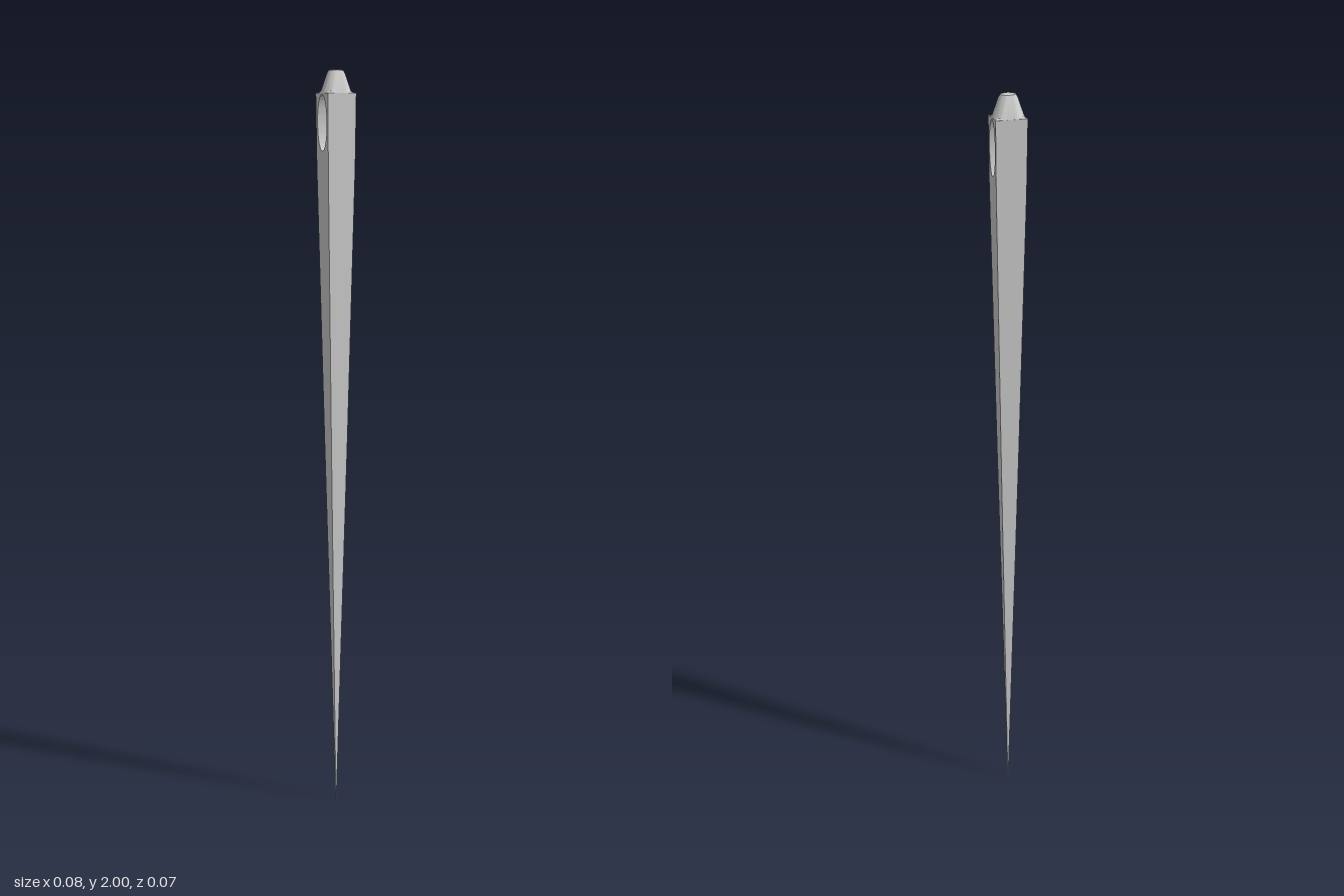
import * as THREE from 'three';
import { toCreasedNormals } from 'three/addons/utils/BufferGeometryUtils.js';

const material = new THREE.MeshStandardMaterial({ color: 0xcccccc });

// Rings run bottom to top: [y, halfX, halfZ, roundness (0 = rectangle, 1 = ellipse)]
function loft(rings, sides, openEnded) {
  const last = rings.length - 1;
  const geo = new THREE.CylinderGeometry(1, 1, 1, sides, last, openEnded, Math.PI / 4);
  const p = geo.attributes.position;
  for (let i = 0; i < p.count; i++) {
    const [y, a, b, round] = rings[Math.round((p.getY(i) + 0.5) * last)];
    const x = p.getX(i), z = p.getZ(i);
    const square = Math.max(Math.abs(x), Math.abs(z)) || 1;
    const k = round + (1 - round) / square;
    p.setXYZ(i, x * k * a, y, z * k * b);
  }
  return toCreasedNormals(geo, 0.6);
}

// Block pierced sideways by the oval eye, slightly tapered downwards
function eyeBlock(y0, y1, [x0, z0], [x1, z1]) {
  const shape = new THREE.Shape();
  shape.moveTo(-z0, y0);
  shape.lineTo(z0, y0);
  shape.lineTo(z1, y1);
  shape.lineTo(-z1, y1);
  shape.closePath();
  const eye = new THREE.Path();
  eye.absellipse(0, 1.863, 0.025, 0.073, 0, Math.PI * 2, true);
  shape.holes.push(eye);
  const geo = new THREE.ExtrudeGeometry(shape, { depth: 2, bevelEnabled: false, curveSegments: 32 });
  geo.translate(0, 0, -1);
  geo.rotateY(Math.PI / 2);
  const p = geo.attributes.position;
  for (let i = 0; i < p.count; i++) {
    const t = (p.getY(i) - y0) / (y1 - y0);
    p.setX(i, p.getX(i) * THREE.MathUtils.lerp(x0, x1, t));
  }
  return toCreasedNormals(geo, 0.6);
}

export function createModel() {
  const model = new THREE.Group();
  const add = (name, geometry) => {
    const mesh = new THREE.Mesh(geometry, material);
    mesh.name = name;
    model.add(mesh);
  };

  // Four-sided shaft tapering to a point
  add('shaft', loft([
    [0, 0.0008, 0.0008, 0],
    [0.4, 0.01, 0.008, 0],
    [1, 0.024, 0.019, 0],
    [1.75, 0.04, 0.032, 0],
  ], 4, true));

  add('eye', eyeBlock(1.75, 1.94, [0.04, 0.032], [0.042, 0.034]));

  // Rounded cap sitting on the rectangular end
  add('cap', loft([
    [1.938, 0.042, 0.034, 0],
    [1.944, 0.041, 0.033, 0.85],
    [1.99, 0.025, 0.02, 1],
    [1.998, 0.02, 0.016, 1],
    [2, 0.012, 0.01, 1],
  ], 32, false));

  return model;
}
